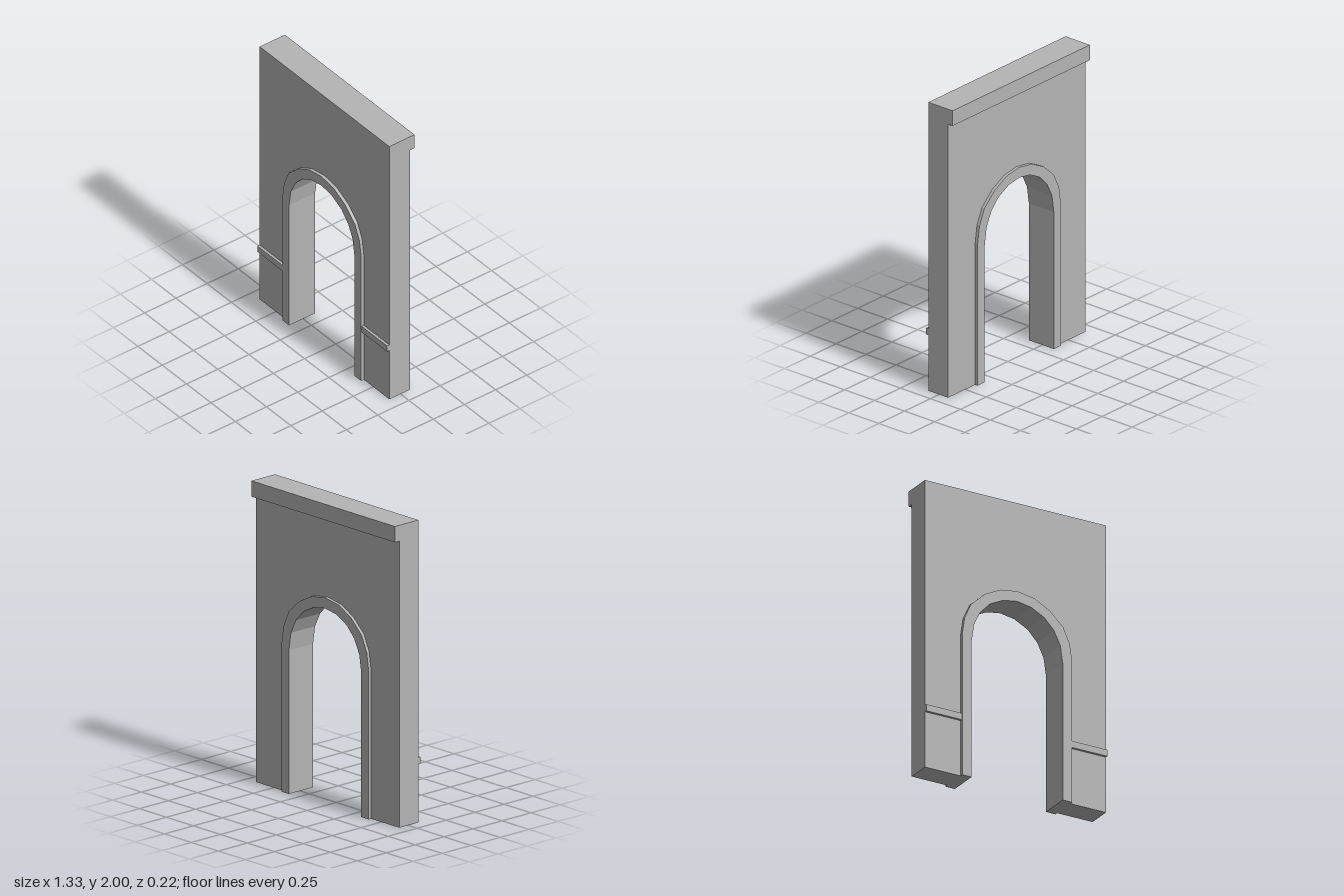
import * as THREE from 'three';

// Right half of each arch curve, from springing point to crown
const OUTER = [[0.404, 0.98], [0.386, 1.1], [0.338, 1.205], [0.239, 1.297], [0.126, 1.355], [0, 1.375]];
const INNER = [[0.335, 0.95], [0.317, 1.07], [0.27, 1.165], [0.2, 1.238], [0.103, 1.287], [0, 1.304]];
const HALF_WIDTH = 0.665;

// Full arch outline from the right foot, over the crown, to the left foot
function archOutline(half) {
  const right = [[half[0][0], 0], ...half];
  const left = right.slice(0, -1).reverse().map(([x, y]) => [-x, y]);
  return [...right, ...left];
}

function extrude(points, back, front) {
  const shape = new THREE.Shape(points.map(([x, y]) => new THREE.Vector2(x, y)));
  const geometry = new THREE.ExtrudeGeometry(shape, { depth: front - back, bevelEnabled: false });
  return geometry.translate(0, 0, back);
}

function block(x0, x1, y0, y1, z0, z1) {
  const geometry = new THREE.BoxGeometry(x1 - x0, y1 - y0, z1 - z0);
  return geometry.translate((x0 + x1) / 2, (y0 + y1) / 2, (z0 + z1) / 2);
}

export function createModel() {
  const group = new THREE.Group();
  group.name = 'archedWall';
  const stone = new THREE.MeshStandardMaterial({ color: 0xb4b4b4 });
  stone.name = 'greyStone';

  const add = (name, geometry) => {
    const mesh = new THREE.Mesh(geometry, stone);
    mesh.name = name;
    group.add(mesh);
  };

  const outer = archOutline(OUTER);
  const inner = archOutline(INNER);

  // Wall panel cut out around the arch trim
  add('wall', extrude([...outer, [-HALF_WIDTH, 0], [-HALF_WIDTH, 2], [HALF_WIDTH, 2], [HALF_WIDTH, 0]], -0.075, 0.09));

  // Raised surround, proud of both wall faces
  add('archTrim', extrude([...outer, ...inner.slice().reverse()], -0.096, 0.112));

  // Ledge along the top of the back
  add('backCornice', block(-HALF_WIDTH, HALF_WIDTH, 1.895, 2, -0.112, -0.075));

  // Narrow bands across the front of each pier
  add('leftBand', block(0.404, HALF_WIDTH, 0.385, 0.43, 0.09, 0.108));
  add('rightBand', block(-HALF_WIDTH, -0.404, 0.385, 0.43, 0.09, 0.108));

  return group;
}
